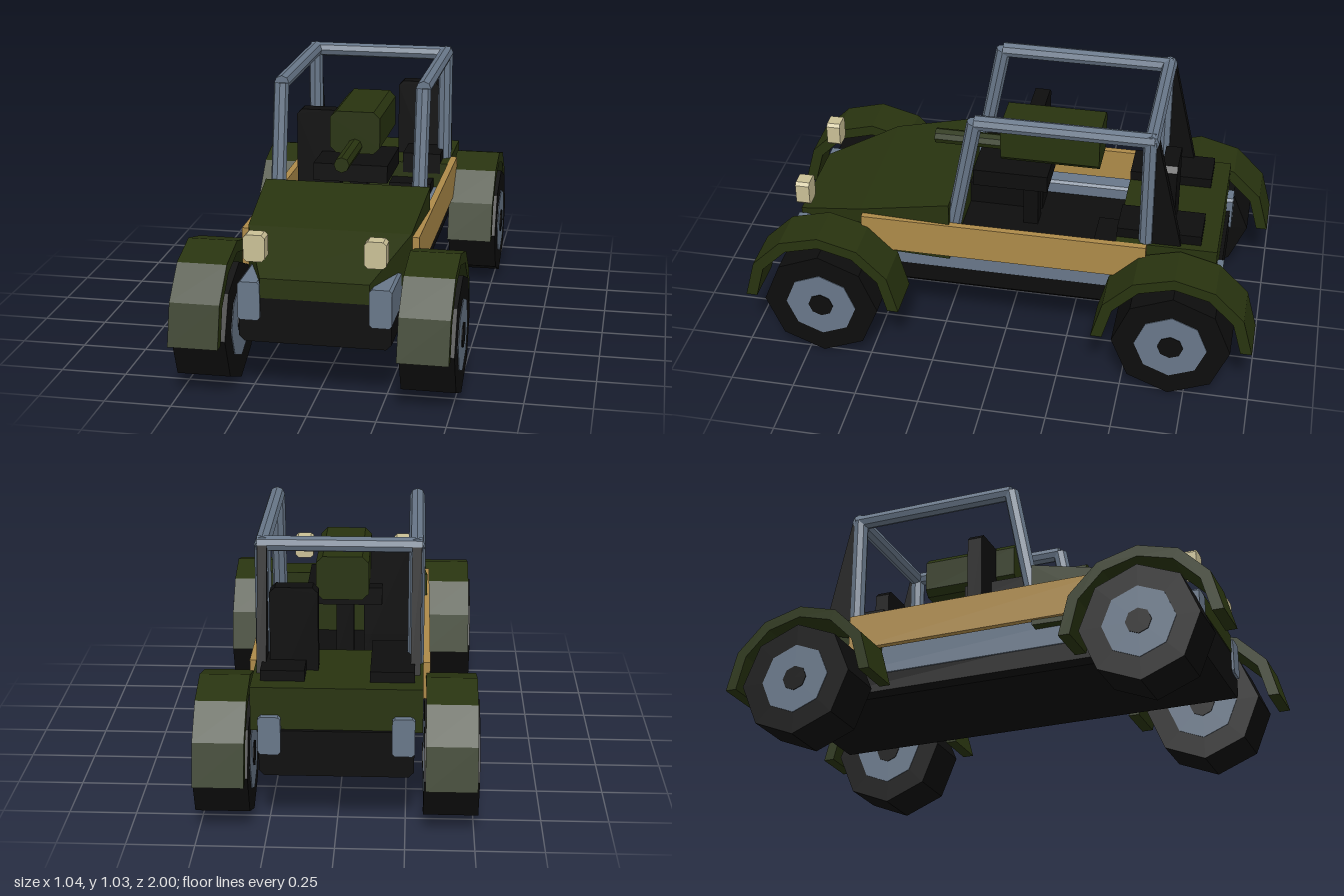
import * as THREE from 'three';

const mat = (name, color) => {
  const m = new THREE.MeshStandardMaterial({ color, flatShading: true });
  m.name = name;
  return m;
};

export function createModel() {
  const green = mat('armyGreen', 0x28330f);
  const black = mat('black', 0x0d0d0d);
  const sand = mat('sand', 0xad8a49);
  const grey = mat('steelGrey', 0x687789);
  const cream = mat('lampCream', 0xcac096);
  const root = new THREE.Group();

  const add = (name, geo, m, x = 0, y = 0, z = 0) => {
    const mesh = new THREE.Mesh(geo, m);
    mesh.name = name;
    mesh.position.set(x, y, z);
    root.add(mesh);
    return mesh;
  };

  // Box given by its limits on each axis
  const box = (name, m, x0, x1, y0, y1, z0, z1) =>
    add(name, new THREE.BoxGeometry(x1 - x0, y1 - y0, z1 - z0), m, (x0 + x1) / 2, (y0 + y1) / 2, (z0 + z1) / 2);

  // Box whose four long edges (along z) are cut off by c
  const chamferBox = (name, m, x0, x1, y0, y1, z0, z1, c) => {
    const s = new THREE.Shape([
      [x0 + c, y0], [x1 - c, y0], [x1, y0 + c], [x1, y1 - c],
      [x1 - c, y1], [x0 + c, y1], [x0, y1 - c], [x0, y0 + c],
    ].map(p => new THREE.Vector2(...p)));
    const g = new THREE.ExtrudeGeometry(s, { depth: z1 - z0, bevelEnabled: false });
    return add(name, g, m, 0, 0, z0);
  };

  // Side profile of (z, y) points, extruded across x and centred on cx
  const sideProfile = (name, m, pts, width, cx) => {
    const s = new THREE.Shape(pts.map(p => new THREE.Vector2(...p)));
    const g = new THREE.ExtrudeGeometry(s, { depth: width, bevelEnabled: false });
    g.translate(0, 0, -width / 2);
    g.rotateY(-Math.PI / 2);
    return add(name, g, m, cx);
  };

  // Eight-sided bar between two points
  const bar = (name, m, a, b, r) => {
    const p = new THREE.Vector3(...a), q = new THREE.Vector3(...b);
    const d = q.clone().sub(p);
    const mesh = add(name, new THREE.CylinderGeometry(r, r, d.length(), 8), m);
    mesh.position.copy(p).add(q).multiplyScalar(0.5);
    mesh.quaternion.setFromUnitVectors(new THREE.Vector3(0, 1, 0), d.normalize());
    return mesh;
  };

  // Hull and rear deck
  chamferBox('hull', black, -0.28, 0.28, 0.21, 0.385, -0.845, 0.845, 0.02);
  box('rearDeck', green, -0.31, 0.31, 0.38, 0.545, -0.83, -0.44);

  // Hood lofted from three cross-sections: z, half width, top height
  const sections = [[0.21, 0.325, 0.635], [0.57, 0.308, 0.56], [0.848, 0.2, 0.455]];
  const ring = ([z, w, top]) => [[-w, 0.38, z], [w, 0.38, z], [w, top, z], [-w, top, z]];
  const tris = [];
  const quad = (a, b, c, d) => tris.push(...a, ...b, ...c, ...a, ...c, ...d);
  const rings = sections.map(ring);
  for (let i = 0; i < 2; i++) {
    for (let k = 0; k < 4; k++) {
      const n = (k + 1) % 4;
      quad(rings[i][k], rings[i][n], rings[i + 1][n], rings[i + 1][k]);
    }
  }
  quad(rings[2][0], rings[2][1], rings[2][2], rings[2][3]);
  quad(rings[0][3], rings[0][2], rings[0][1], rings[0][0]);
  const hood = new THREE.BufferGeometry();
  hood.setAttribute('position', new THREE.Float32BufferAttribute(tris, 3));
  hood.computeVertexNormals();
  add('hood', hood, green);

  for (const s of [-1, 1]) {
    // Chassis rails, side planks and headlights
    chamferBox('chassisRail', grey, s * 0.241 - 0.041, s * 0.241 + 0.041, 0.295, 0.44, -0.855, 0.855, 0.01);
    box('sidePlank', sand, s * 0.322 - 0.013, s * 0.322 + 0.013, 0.4, 0.545, -0.56, 0.56);
    chamferBox('headlight', cream, s * 0.22 - 0.04, s * 0.22 + 0.04, 0.515, 0.615, 0.79, 0.845, 0.012);

    // Roll cage side and its rear gusset
    const x = s * 0.28;
    bar('cageFrontPost', grey, [x, 0.5, 0.205], [x, 1.0, 0.11], 0.03);
    bar('cageRearPost', grey, [x, 0.5, -0.555], [x, 1.0, -0.555], 0.03);
    bar('cageTopRail', grey, [x, 0.998, 0.11], [x, 0.998, -0.57], 0.03);
    sideProfile('cageGusset', black, [[-0.57, 0.54], [-0.57, 1.0], [-0.585, 1.0], [-0.69, 0.54]], 0.035, x);

    // Low storage boxes on the rear deck
    box('deckBox', black, s * 0.198 - 0.08, s * 0.198 + 0.08, 0.5, 0.585, -0.765, -0.44);

    for (const z of [-0.69, 0.69]) {
      // Wheel: tyre, rim and cap
      for (const [name, m, r, w] of [
        ['tyre', black, 0.228, 0.2], ['rim', grey, 0.14, 0.206], ['hubCap', black, 0.05, 0.212],
      ]) {
        const g = new THREE.CylinderGeometry(r, r, w, 8);
        g.rotateZ(Math.PI / 2);
        add(name, g, m, s * 0.415, 0.228, z);
      }
      // Arched fender
      const arc = (r) => Array.from({ length: 7 }, (_, i) => {
        const a = (i * Math.PI) / 6;
        return [z + r * Math.cos(a), 0.228 + r * Math.sin(a)];
      });
      sideProfile('fender', green, [...arc(0.31), ...arc(0.266).reverse()], 0.185, s * 0.413);
    }
  }
  bar('cageRearBar', grey, [-0.3, 0.998, -0.557], [0.3, 0.998, -0.557], 0.029);

  // Seats: driver forward on one side, passenger at the rear on the other
  for (const [cx, z] of [[-0.162, -0.09], [0.162, -0.655]]) {
    box('seatCushion', black, cx - 0.088, cx + 0.088, 0.38, 0.48, z, z + 0.31);
    chamferBox('seatBack', black, cx - 0.088, cx + 0.088, 0.38, 0.862, z, z + 0.06, 0.02);
  }

  // Roof-level turret box with barrel and the cradle below
  chamferBox('turretBox', green, -0.1, 0.1, 0.71, 0.88, -0.34, 0.05, 0.025);
  bar('barrel', green, [0, 0.74, 0.04], [0, 0.74, 0.33], 0.03);
  box('turretCradle', black, -0.147, 0.147, 0.622, 0.692, -0.145, 0.15);
  box('turretPost', black, -0.035, 0.035, 0.38, 0.63, -0.09, -0.03);

  return root;
}
